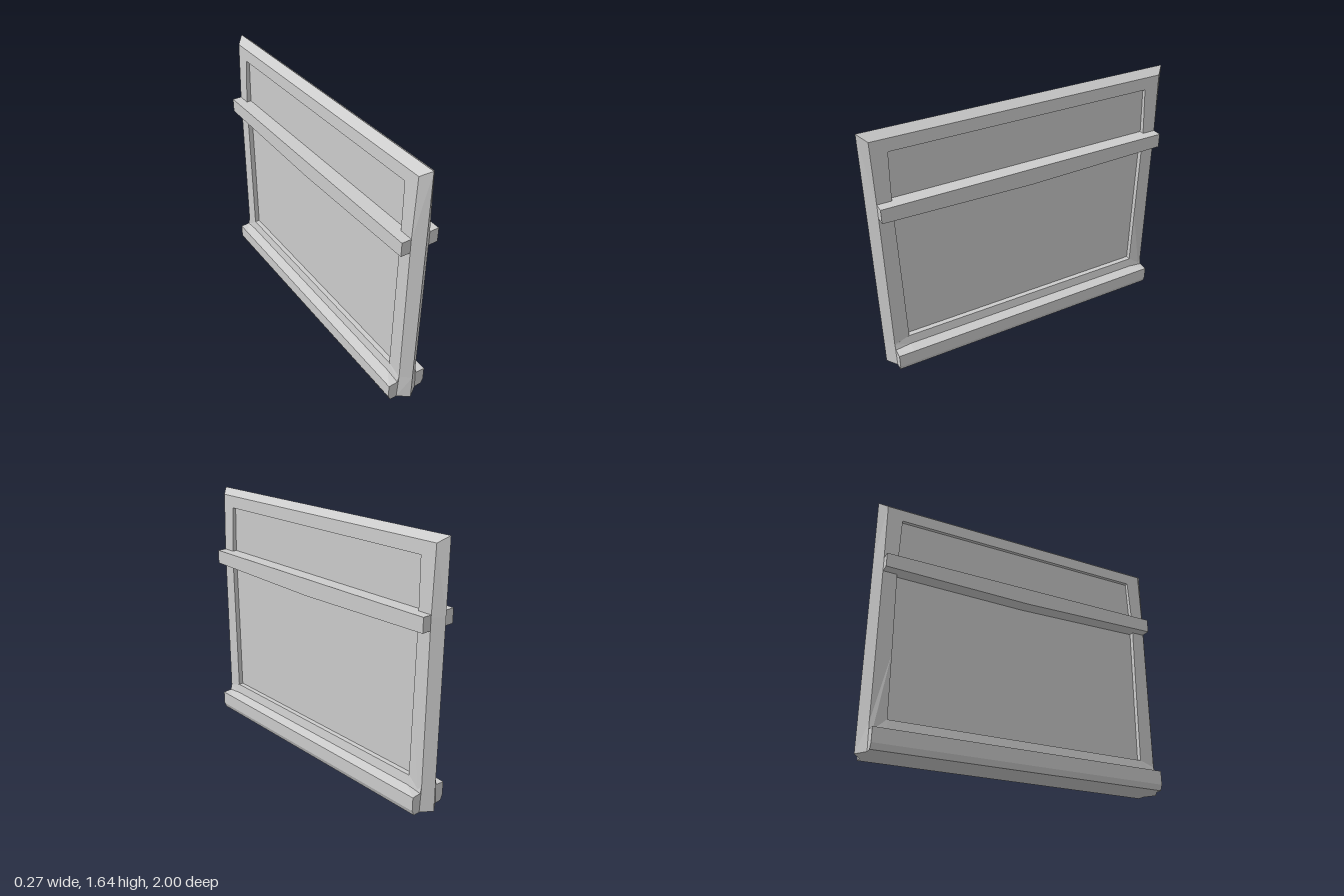
import * as THREE from 'three';

const material = new THREE.MeshStandardMaterial({ color: 0xcccccc, flatShading: true });

// Flat-shaded mesh from a list of [a, b, c] triangles
function triMesh(name, tris) {
  const geo = new THREE.BufferGeometry();
  geo.setAttribute('position', new THREE.Float32BufferAttribute(tris.flat(2), 3));
  geo.computeVertexNormals();
  const mesh = new THREE.Mesh(geo, material);
  mesh.name = name;
  return mesh;
}

const mirrorX = (tris) =>
  tris.map((t) => t.map(([x, y, z]) => [-x, y, z]).reverse());

// Joins matching closed loops with quads
function skin(loops) {
  const tris = [];
  for (let k = 0; k + 1 < loops.length; k++) {
    const A = loops[k], B = loops[k + 1], n = A.length;
    for (let i = 0; i < n; i++) {
      const j = (i + 1) % n;
      tris.push([A[i], A[j], B[j]], [A[i], B[j], B[i]]);
    }
  }
  return tris;
}

// Fills a loop with a fan from its middle
function cap(loop) {
  const mid = [0, 1, 2].map((a) => loop.reduce((s, p) => s + p[a], 0) / loop.length);
  return loop.map((p, i) => [mid, p, loop[(i + 1) % loop.length]]);
}

// Lofts cross-sections (counter-clockwise seen from +z) from back to front
const loft = (rings) => [
  ...skin(rings),
  ...cap(rings[rings.length - 1]),
  ...cap([...rings[0]].reverse()),
];

// Half thickness of the frame: flared foot, straight middle, tapered top
function halfWidth(y) {
  if (y < 0.17) return 0.062 + 0.01 * (1 - y / 0.17);
  return y < 1.2 ? 0.062 : 0.062 - 0.012 * (y - 1.2) / 0.4;
}

// Closed loop around one face, from rows of [z, y] going up
function faceLoop(rows, width) {
  const right = rows.map(([z, y]) => [width(y), y, -z]);
  const left = rows.map(([z, y]) => [width(y), y, z]).reverse();
  return [...right, ...left];
}

export function createModel() {
  const group = new THREE.Group();
  group.name = 'wallPanel';

  // Frame with a ridge along its outer edge and a recessed panel
  const ridge = faceLoop([[1, 0], [1, 0.17], [1, 1.2], [1, 1.64]], () => 0);
  const outer = faceLoop([[0.95, 0], [0.95, 0.17], [0.95, 1.2], [0.95, 1.6]], halfWidth);
  const opening = [[0.85, 0.2], [0.854, 0.6], [0.862, 1.2], [0.85, 1.52]];
  const inner = faceLoop(opening, halfWidth);
  const recess = faceLoop(opening, () => 0.03);

  const frame = skin([ridge, outer, inner, recess]);
  group.add(triMesh('frame', [...frame, ...mirrorX(frame)]));
  const panel = cap(recess);
  group.add(triMesh('panel', [...panel, ...mirrorX(panel)]));

  // Base sill, its sloped top dropping a little at both ends
  const sillRing = (z, slopeTop, ledge) => {
    const half = [[0.118, 0], [0.134, 0.035], [0.134, 0.124], [0.072, ledge], [0.0625, slopeTop]];
    return [
      ...half.map(([x, y]) => [x, y, z]),
      ...half.map(([x, y]) => [-x, y, z]).reverse(),
    ];
  };
  group.add(triMesh('baseSill', loft([
    sillRing(-0.95, 0.165, 0.127),
    sillRing(-0.85, 0.2, 0.14),
    sillRing(0.85, 0.2, 0.14),
    sillRing(0.95, 0.165, 0.127),
  ])));

  // Cross rails on both faces, the underside sagging towards the middle
  const railRings = [-0.95, -0.6, -0.3, 0, 0.3, 0.6, 0.95].map((z) => {
    const bottom = 1.107 + 0.018 * Math.abs(z) / 0.95;
    return [[0.02, bottom, z], [0.123, bottom, z], [0.123, 1.216, z], [0.02, 1.216, z]];
  });
  const rail = loft(railRings);
  group.add(triMesh('leftRail', rail), triMesh('rightRail', mirrorX(rail)));

  return group;
}
